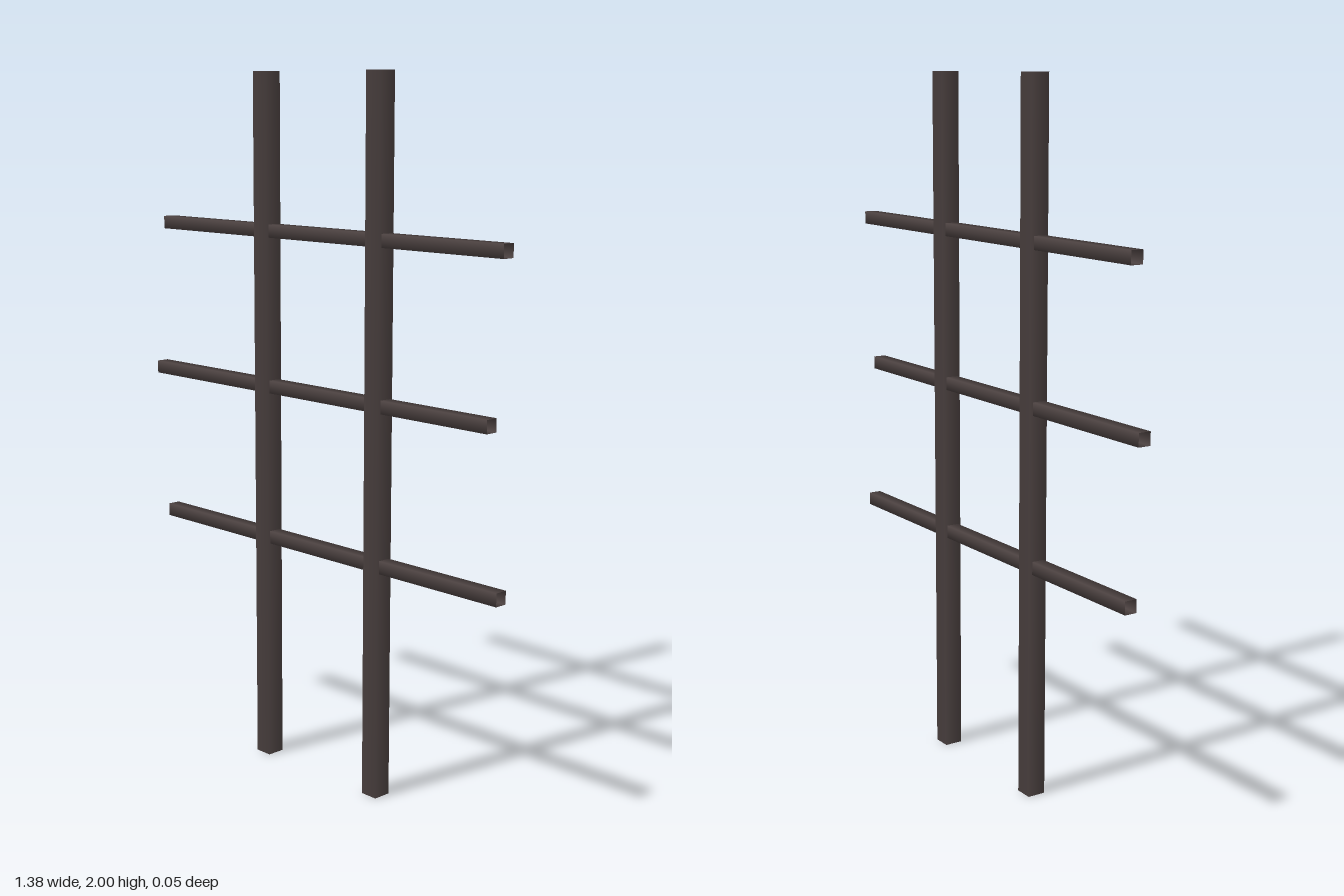
import * as THREE from 'three';

export function createModel() {
  const model = new THREE.Group();
  const darkWood = new THREE.MeshStandardMaterial({ color: 0x4a403f, side: THREE.DoubleSide });
  darkWood.name = 'darkWood';

  // Hollow, open-ended square rod with softly shaded sides, standing along y
  function rod(name, width, length) {
    const r = width / Math.SQRT2;
    const geometry = new THREE.CylinderGeometry(r, r, length, 4, 1, true);
    geometry.rotateY(Math.PI / 4);
    const mesh = new THREE.Mesh(geometry, darkWood);
    mesh.name = name;
    model.add(mesh);
    return mesh;
  }

  // Uprights
  [['rightPost', -0.203], ['leftPost', 0.241]].forEach(([name, x]) => {
    rod(name, 0.053, 2).position.set(x, 1, 0);
  });

  // Crossbars, the middle one shifted sideways
  [['lowerBar', 0.02, 0.67], ['middleBar', -0.023, 1.115], ['upperBar', 0.02, 1.56]].forEach(([name, x, y]) => {
    const bar = rod(name, 0.037, 1.332);
    bar.rotation.z = Math.PI / 2;
    bar.position.set(x, y, 0);
  });

  return model;
}
